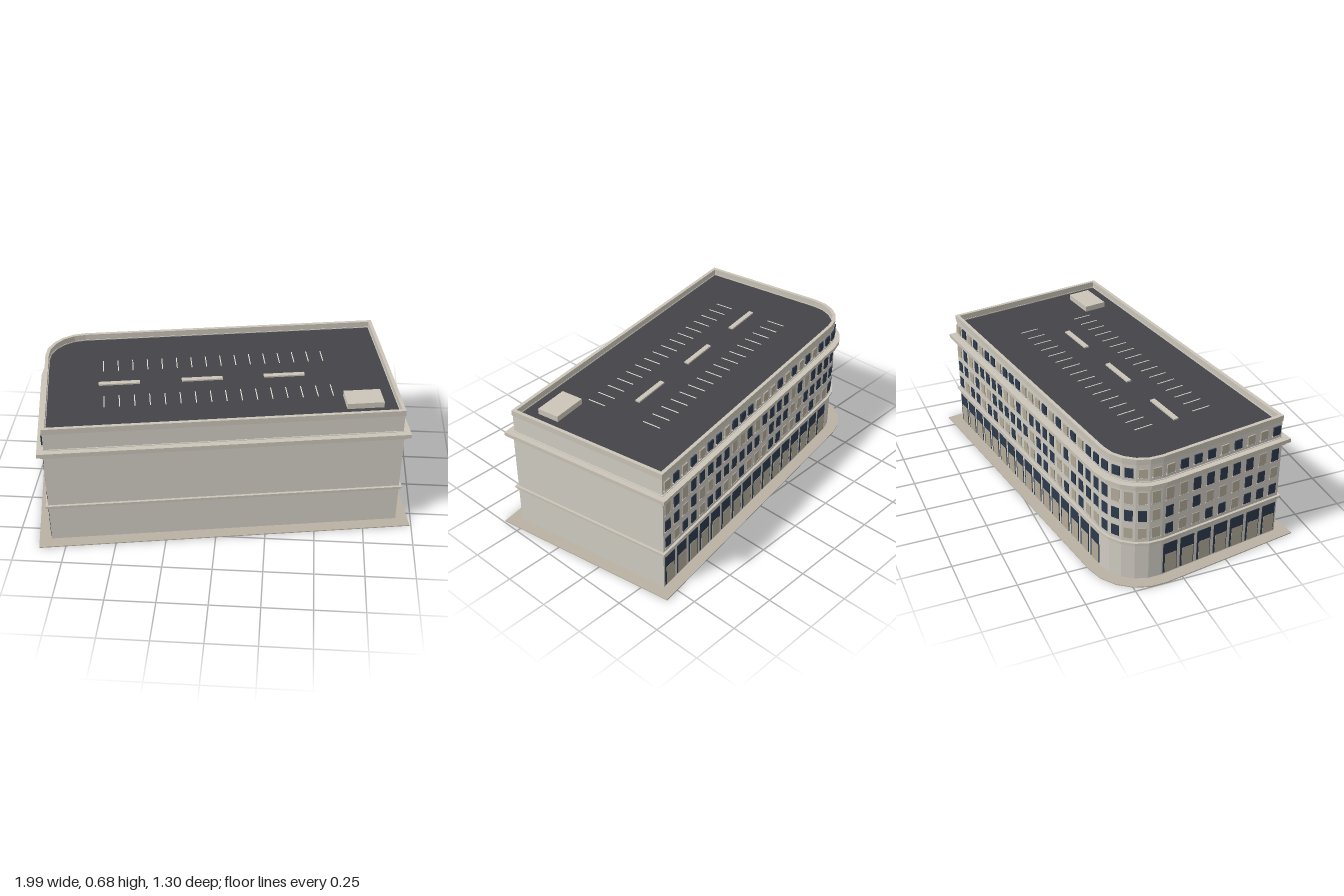
import * as THREE from 'three';
import { mergeGeometries } from 'three/addons/utils/BufferGeometryUtils.js';

// Wall footprint in the building's own axes, one rounded corner at back (-z) / -x
const X0 = -0.911, X1 = 0.863, Z0 = -0.45, Z1 = 0.441, R = 0.21, FACETS = 5;
const CX = X0 + R, CZ = Z0 + R;

const paint = (color) => new THREE.MeshStandardMaterial({ color, flatShading: true });

// Footprint grown outwards by o, drawn with shape y = -z
function outline(o, Kind = THREE.Shape) {
  const pts = [[X0 - o, -Z1 - o], [X1 + o, -Z1 - o], [X1 + o, -Z0 + o]];
  for (let i = 0; i <= FACETS; i++) {
    const a = Math.PI / 2 * (1 + i / FACETS);
    pts.push([CX + (R + o) * Math.cos(a), -CZ + (R + o) * Math.sin(a)]);
  }
  return new Kind(pts.map(([x, y]) => new THREE.Vector2(x, y)));
}

export function createModel() {
  const model = new THREE.Group();
  const wall = paint(0xd0ccc3), trim = paint(0xcac4b8), stone = paint(0xb9b1a2);
  const tar = paint(0x444348), glass = paint(0x2d3a4c), blind = paint(0xb2aa99), white = paint(0xdedad0);

  const add = (name, geometry, material) => {
    const mesh = new THREE.Mesh(geometry, material);
    mesh.name = name;
    model.add(mesh);
    return mesh;
  };
  // Horizontal layer between two heights, optionally hollow
  const layer = (name, y0, y1, o, material, hole) => {
    const shape = outline(o);
    if (hole !== undefined) shape.holes.push(outline(hole, THREE.Path));
    const g = new THREE.ExtrudeGeometry(shape, { depth: y1 - y0, bevelEnabled: false });
    g.rotateX(-Math.PI / 2).translate(0, y0, 0);
    return add(name, g, material);
  };

  // Main masses and mouldings
  layer('pavement', 0, 0.005, 0.062, stone);
  layer('mainWalls', 0.005, 0.56, 0, wall);
  layer('beltCourse', 0.203, 0.213, 0.007, trim);
  layer('beltCourseTop', 0.213, 0.222, 0.013, trim);
  layer('corniceLower', 0.52, 0.537, 0.012, trim);
  layer('corniceUpper', 0.537, 0.557, 0.029, trim);
  layer('atticWalls', 0.56, 0.635, -0.005, wall);
  layer('parapet', 0.635, 0.65, -0.005, wall, -0.022);
  layer('parapetCoping', 0.65, 0.68, -0.002, trim, -0.02);
  layer('roofDeck', 0.635, 0.645, -0.022, tar);

  // Facade panels, gathered by material
  const parts = { glass: [], blind: [], frame: [] };
  const panel = (kind, spot, w, y0, y1, depth, shift = 0) => {
    const g = new THREE.BoxGeometry(w, y1 - y0, depth);
    g.translate(shift, (y0 + y1) / 2, 0);
    g.rotateY(Math.atan2(spot.nx, spot.nz)).translate(spot.x, 0, spot.z);
    parts[kind].push(g);
  };
  // Evenly spaced spots on the two straight facades and the rounded corner
  const backSpots = (n) => Array.from({ length: n }, (_, i) => (
    { x: X1 - (X1 - CX) * (i + 0.5) / n, z: Z0, nx: 0, nz: -1 }));
  const sideSpots = (n) => Array.from({ length: n }, (_, i) => (
    { x: X0, z: CZ + (Z1 - CZ) * (i + 0.5) / n, nx: -1, nz: 0 }));
  const cornerSpots = Array.from({ length: FACETS }, (_, i) => {
    const a = Math.PI / 2 * (i + 0.5) / FACETS, r = R * Math.cos(Math.PI / 4 / FACETS);
    const nx = -Math.sin(a), nz = -Math.cos(a);
    return { x: CX + nx * r, z: CZ + nz * r, nx, nz };
  });

  let seed = 7;
  const random = () => (seed = (seed * 16807) % 2147483647) / 2147483647;

  // Upper windows, some with blinds drawn
  const rows = [[0.243, 0.3], [0.34, 0.4], [0.437, 0.503], [0.582, 0.63]];
  for (const [y0, y1] of rows) {
    for (const spot of [...backSpots(22), ...cornerSpots, ...sideSpots(9)]) {
      panel(random() < 0.6 ? 'glass' : 'blind', spot, 0.041, y0, y1, 0.007);
      panel('frame', spot, 0.049, y0 - 0.006, y0, 0.009);
    }
  }

  // Ground floor shopfronts: dark transom over a shutter with a glazed strip
  for (const spot of [...backSpots(16), ...sideSpots(7)]) {
    panel('glass', spot, 0.078, 0.012, 0.182, 0.005);
    panel('blind', spot, 0.064, 0.012, 0.118, 0.008, 0.003);
  }
  add('windowGlass', mergeGeometries(parts.glass), glass);
  add('windowBlinds', mergeGeometries(parts.blind), blind);
  add('windowSills', mergeGeometries(parts.frame), trim);

  // Rooftop parking: bay lines, dividers and stair housing
  const block = (name, w, h, d, x, z, material) =>
    add(name, new THREE.BoxGeometry(w, h, d).translate(x, 0.645 + h / 2, z), material);
  for (let i = 0; i < 16; i++) {
    const x = -0.608 + i * 0.0765;
    for (const z of [-0.157, 0.173]) block('parkingLine', 0.005, 0.002, 0.1, x, z, white);
  }
  for (const x of [-0.528, -0.105, 0.318]) block('parkingDivider', 0.21, 0.008, 0.026, x, 0.013, trim);
  block('stairHousing', 0.185, 0.03, 0.12, 0.68, 0.287, trim);

  // The whole block sits slightly turned on its plot
  model.rotation.y = 0.159;
  const root = new THREE.Group();
  root.name = 'building';
  root.add(model);
  return root;
}
